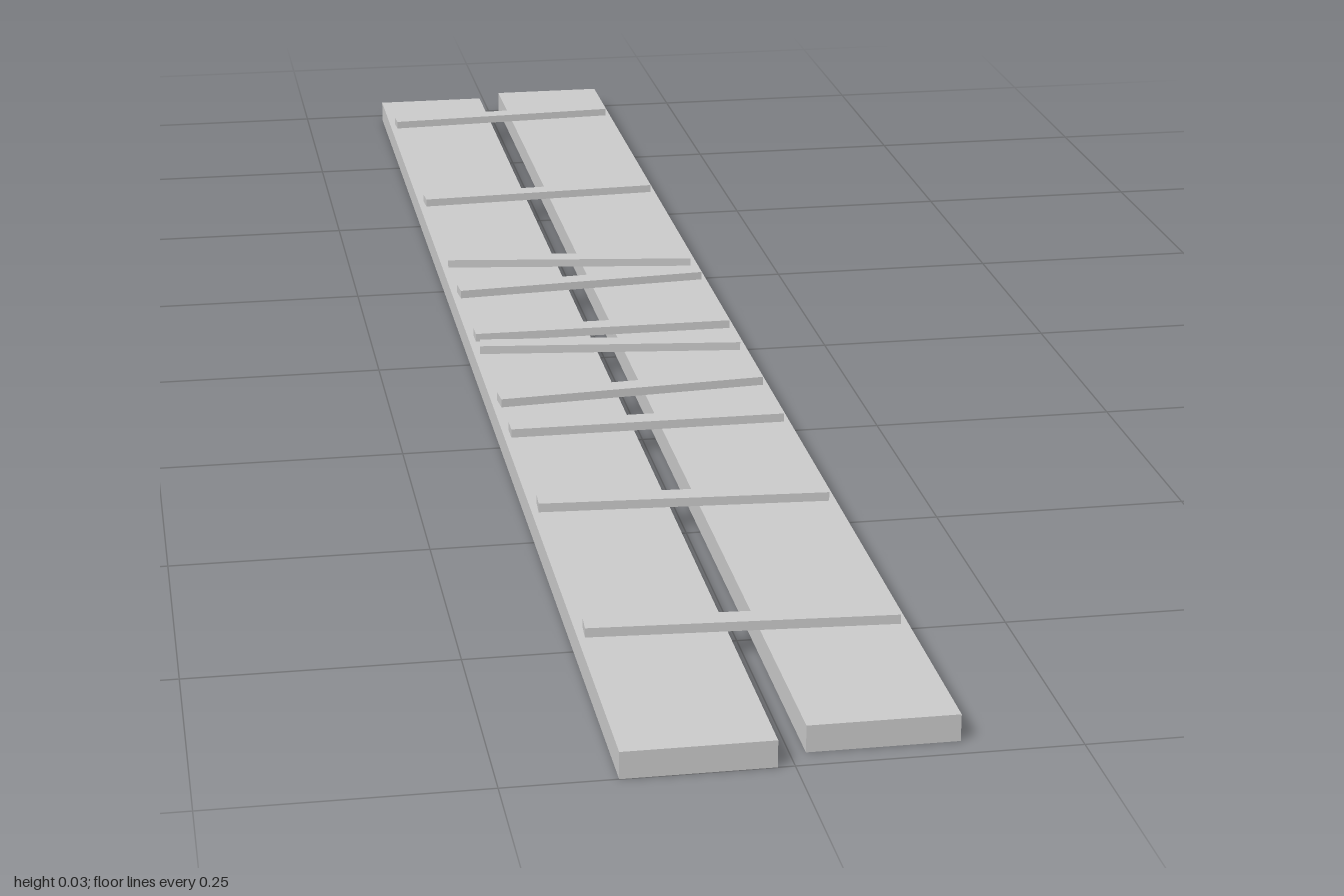
import * as THREE from 'three';

export function createModel() {
  const model = new THREE.Group();
  const material = new THREE.MeshStandardMaterial({ color: 0xcccccc, flatShading: true });

  const addBox = (name, parent, w, h, d, x, y, z, turn = 0) => {
    const mesh = new THREE.Mesh(new THREE.BoxGeometry(w, h, d), material);
    mesh.name = name;
    mesh.position.set(x, y, z);
    mesh.rotation.y = turn;
    parent.add(mesh);
  };

  // Two long planks, slightly offset lengthwise, with a gap between them
  const plankH = 0.025, plankW = 0.134;
  addBox('rightPlank', model, plankW, plankH, 1.977, -0.082, plankH / 2, 0.0115);
  addBox('leftPlank', model, plankW, plankH, 1.977, 0.081, plankH / 2, -0.0115);

  // Cross slats: [z at the right end, z at the left end]
  const slats = new THREE.Group();
  slats.name = 'crossSlats';
  model.add(slats);
  const span = 0.28, slatH = 0.009, slatD = 0.022;
  const ends = [
    [-0.86, -0.878], [-0.513, -0.528], [-0.274, -0.236], [-0.163, -0.185], [-0.016, -0.016],
    [0.024, 0.056], [0.188, 0.166], [0.275, 0.275], [0.474, 0.49], [0.764, 0.78],
  ];
  ends.forEach(([zr, zl], i) => {
    const turn = -Math.atan2(zl - zr, span);
    addBox(`slat${i + 1}`, slats, 0.284, slatH, slatD, 0, plankH + slatH / 2, (zr + zl) / 2, turn);
  });

  return model;
}
